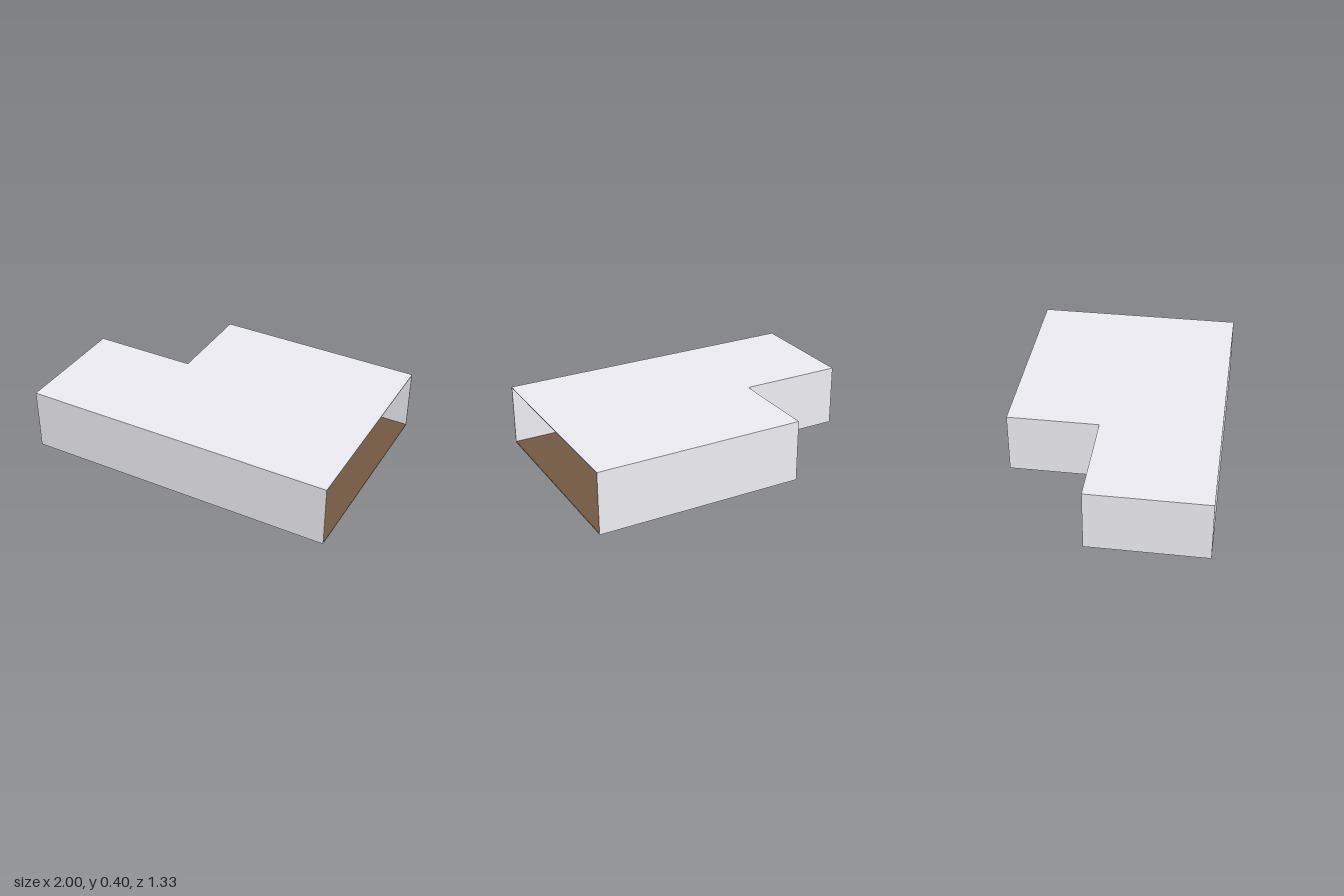
import * as THREE from 'three';
import { RoundedBoxGeometry } from 'three/addons/geometries/RoundedBoxGeometry.js';

const mat = (color) => new THREE.MeshStandardMaterial({ color });
const WALL = mat(0xeeeef4), FLOOR = mat(0x745942), BASE = mat(0xbaa998), TAN = mat(0xe6c6a4);
const FRAME = mat(0x8c7660), BLACK = mat(0x161616), DARK = mat(0x55585a), STEEL = mat(0xb4babb);
const SOFA = mat(0xc8c9c9), CUSHION = mat(0x9c9e9f), SEAT = mat(0x808284), CABINET = mat(0xcccccc);
const GLASS = mat(0x4f8fb0);

function add(parent, name, geometry, material) {
  const mesh = new THREE.Mesh(geometry, material);
  mesh.name = name;
  parent.add(mesh);
  return mesh;
}

// box given by its low and high corners, optionally rounded
function box(parent, name, material, [x0, y0, z0], [x1, y1, z1], round = 0) {
  const s = [x1 - x0, y1 - y0, z1 - z0];
  const geo = round ? new RoundedBoxGeometry(...s, 3, round) : new THREE.BoxGeometry(...s);
  const mesh = add(parent, name, geo, material);
  mesh.position.set((x0 + x1) / 2, (y0 + y1) / 2, (z0 + z1) / 2);
  return mesh;
}

function group(parent, name) {
  const g = new THREE.Group();
  g.name = name;
  parent.add(g);
  return g;
}

// L-shaped slab whose outline is drawn in x and z, hanging down from y = top
function slab(parent, name, material, top, thick, inset) {
  const i = inset;
  const outline = [[-1 + i, -0.086 + i], [-0.335 + i, -0.086 + i], [-0.335 + i, -0.667 + i],
    [1, -0.667 + i], [1, 0.667 - i], [-1 + i, 0.667 - i]];
  const shape = new THREE.Shape(outline.map(([x, z]) => new THREE.Vector2(x, z)));
  const geo = new THREE.ExtrudeGeometry(shape, { depth: thick, bevelEnabled: false });
  geo.rotateX(Math.PI / 2).translate(0, top, 0);
  return add(parent, name, geo, material);
}

function knob(parent, x, y, z) {
  add(parent, 'knob', new THREE.SphereGeometry(0.005, 12, 8), DARK).position.set(x, y, z);
}

// cupboard door on the +x face: raised frame, inner panel and round knob
function door(parent, x, y0, y1, z0, z1, panel, m, knobY, knobZ) {
  box(parent, 'doorFrame', FRAME, [x, y0, z0], [x + 0.003, y1, z1]);
  box(parent, 'doorPanel', panel, [x, y0 + m, z0 + m], [x + 0.005, y1 - m, z1 - m]);
  knob(parent, x + 0.008, knobY, knobZ);
}

function buildShell(root) {
  const g = group(root, 'room');
  const t = 0.007, y0 = 0.011, y1 = 0.397;
  slab(g, 'floorSlab', WALL, 0.011, 0.007, 0);
  slab(g, 'floorCovering', FLOOR, 0.013, 0.002, t);
  slab(g, 'ceiling', WALL, 0.404, 0.007, 0);
  box(g, 'frontWall', WALL, [-1, y0, 0.667 - t], [1, y1, 0.667]);
  box(g, 'endWall', WALL, [-1, y0, -0.086], [-1 + t, y1, 0.667 - t]);
  box(g, 'notchBackWall', WALL, [-1 + t, y0, -0.086], [-0.335 + t, y1, -0.086 + t]);
  box(g, 'notchSideWall', WALL, [-0.335, y0, -0.667], [-0.335 + t, y1, -0.086]);
  box(g, 'backWall', WALL, [-0.335 + t, y0, -0.667], [1, y1, -0.667 + t]);
}

function buildKitchen(root) {
  const g = group(root, 'kitchen');
  const wall = -0.993, baseX = -0.9, upX = -0.94;
  // base units
  box(g, 'baseCarcass', FRAME, [wall, 0.013, 0.148], [baseX, 0.145, 0.66]);
  box(g, 'worktop', FRAME, [wall, 0.145, 0.147], [baseX + 0.006, 0.149, 0.66]);
  for (let i = 0; i < 4; i++) {
    const z = 0.148 + i * 0.126;
    door(group(g, 'baseDoor'), baseX, 0.015, 0.145, z + 0.001, z + 0.125, BASE, 0.003, 0.119, z + 0.017);
  }
  // paired wall cupboards
  for (const z of [0.2, 0.513]) {
    const c = group(g, 'wallCupboard');
    box(c, 'carcass', FRAME, [wall, 0.231, z], [upX, 0.353, z + 0.107]);
    for (const s of [0, 1]) {
      const a = z + 0.002 + s * 0.052;
      door(c, upX, 0.234, 0.351, a, a + 0.051, TAN, 0.006, 0.293, s ? a + 0.013 : a + 0.038);
    }
  }
  // open cupboard holding the microwave
  const m = group(g, 'microwaveCupboard');
  box(m, 'topBox', TAN, [wall, 0.306, 0.41], [upX, 0.353, 0.512]);
  door(m, upX, 0.308, 0.351, 0.413, 0.509, TAN, 0.002, 0.314, 0.461);
  box(m, 'shelf', FRAME, [wall, 0.246, 0.41], [upX, 0.251, 0.512]);
  for (const z of [0.41, 0.505]) box(m, 'side', TAN, [wall, 0.251, z], [upX, 0.306, z + 0.007]);
  box(m, 'innerBack', TAN, [wall, 0.251, 0.417], [wall + 0.004, 0.306, 0.505]);
  box(m, 'microwave', STEEL, [wall + 0.005, 0.251, 0.424], [upX + 0.004, 0.301, 0.499]);
  box(m, 'microwaveHandle', DARK, [upX + 0.004, 0.277, 0.43], [upX + 0.008, 0.28, 0.494]);
  // extractor hood: tapered skirt under a straight chimney
  const h = group(g, 'extractorHood');
  box(h, 'chimney', BLACK, [wall, 0.264, 0.343], [-0.955, 0.352, 0.38]);
  const skirt = new THREE.BoxGeometry(0.07, 0.032, 0.095);
  const p = skirt.attributes.position;
  for (let i = 0; i < p.count; i++) {
    if (p.getY(i) > 0) p.setXYZ(i, p.getX(i) > 0 ? 0.003 : -0.035, p.getY(i), p.getZ(i) * 0.39);
  }
  skirt.computeVertexNormals();
  add(h, 'skirt', skirt, BLACK).position.set(wall + 0.035, 0.253, 0.3615);
  box(h, 'rim', BLACK, [wall, 0.232, 0.314], [wall + 0.07, 0.237, 0.409]);
}

function buildSofa(root) {
  const g = group(root, 'sofa');
  const x0 = 0.4, x1 = 0.72, arm = 0.04;
  box(g, 'plinth', SEAT, [x0, 0, 0.505], [x1, 0.014, 0.653], 0.003);
  box(g, 'seatBase', SEAT, [x0 + arm, 0.012, 0.507], [x1 - arm, 0.056, 0.65]);
  box(g, 'backRest', CUSHION, [x0 + 0.01, 0.014, 0.612], [x1 - 0.01, 0.146, 0.655], 0.008);
  for (const x of [x0, x1 - arm]) box(g, 'arm', SOFA, [x, 0.012, 0.525], [x + arm, 0.092, 0.652], 0.004);
  const w = (x1 - x0 - 2 * arm) / 2;
  for (let i = 0; i < 2; i++) {
    const x = x0 + arm + i * w;
    box(g, 'seatCushion', SEAT, [x, 0.05, 0.505], [x + w, 0.077, 0.615], 0.006);
    box(g, 'backCushion', CUSHION, [x + 0.01, 0.074, 0.578], [x + w - 0.01, 0.125, 0.612], 0.012).rotation.x = 0.35;
  }
}

function buildTelevision(root) {
  const g = group(root, 'televisionCorner');
  const x0 = 0.44, x1 = 0.68, back = -0.635, front = -0.55;
  // cabinet with a glazed shelf above two drawers
  box(g, 'cabinetTop', CABINET, [x0, 0.094, back], [x1, 0.1, front]);
  box(g, 'cabinetFloor', CABINET, [x0, 0.013, back], [x1, 0.022, front]);
  box(g, 'cabinetBack', CABINET, [x0, 0.022, back], [x1, 0.094, back + 0.006]);
  for (const x of [x0, x1 - 0.008]) box(g, 'side', CABINET, [x, 0.022, back], [x + 0.008, 0.094, front]);
  box(g, 'shelf', CABINET, [x0 + 0.008, 0.06, back + 0.006], [x1 - 0.008, 0.065, front - 0.003]);
  box(g, 'shelfGlass', GLASS, [x0 + 0.008, 0.065, front - 0.006], [x1 - 0.045, 0.085, front - 0.002]);
  for (const x of [x0 + 0.01, 0.562]) {
    box(g, 'drawer', CABINET, [x, 0.024, back + 0.006], [x + 0.108, 0.058, front - 0.001]);
    box(g, 'drawerHandle', DARK, [x + 0.034, 0.04, front - 0.001], [x + 0.074, 0.043, front + 0.002]);
  }
  // media player on the cabinet
  box(g, 'mediaPlayer', CUSHION, [0.5, 0.095, -0.575], [0.62, 0.102, -0.545], 0.003);
  // television on its foot
  box(g, 'foot', DARK, [0.51, 0.1, -0.615], [0.61, 0.106, -0.58], 0.002);
  box(g, 'neck', BLACK, [0.55, 0.106, -0.605], [0.57, 0.125, -0.595]);
  box(g, 'screenBody', DARK, [0.47, 0.111, -0.61], [0.65, 0.203, -0.592], 0.002);
  box(g, 'screen', BLACK, [0.476, 0.117, -0.594], [0.644, 0.197, -0.59]);
}

export function createModel() {
  const root = new THREE.Group();
  root.name = 'openPlanRoom';
  buildShell(root);
  buildKitchen(root);
  buildSofa(root);
  buildTelevision(root);
  return root;
}
